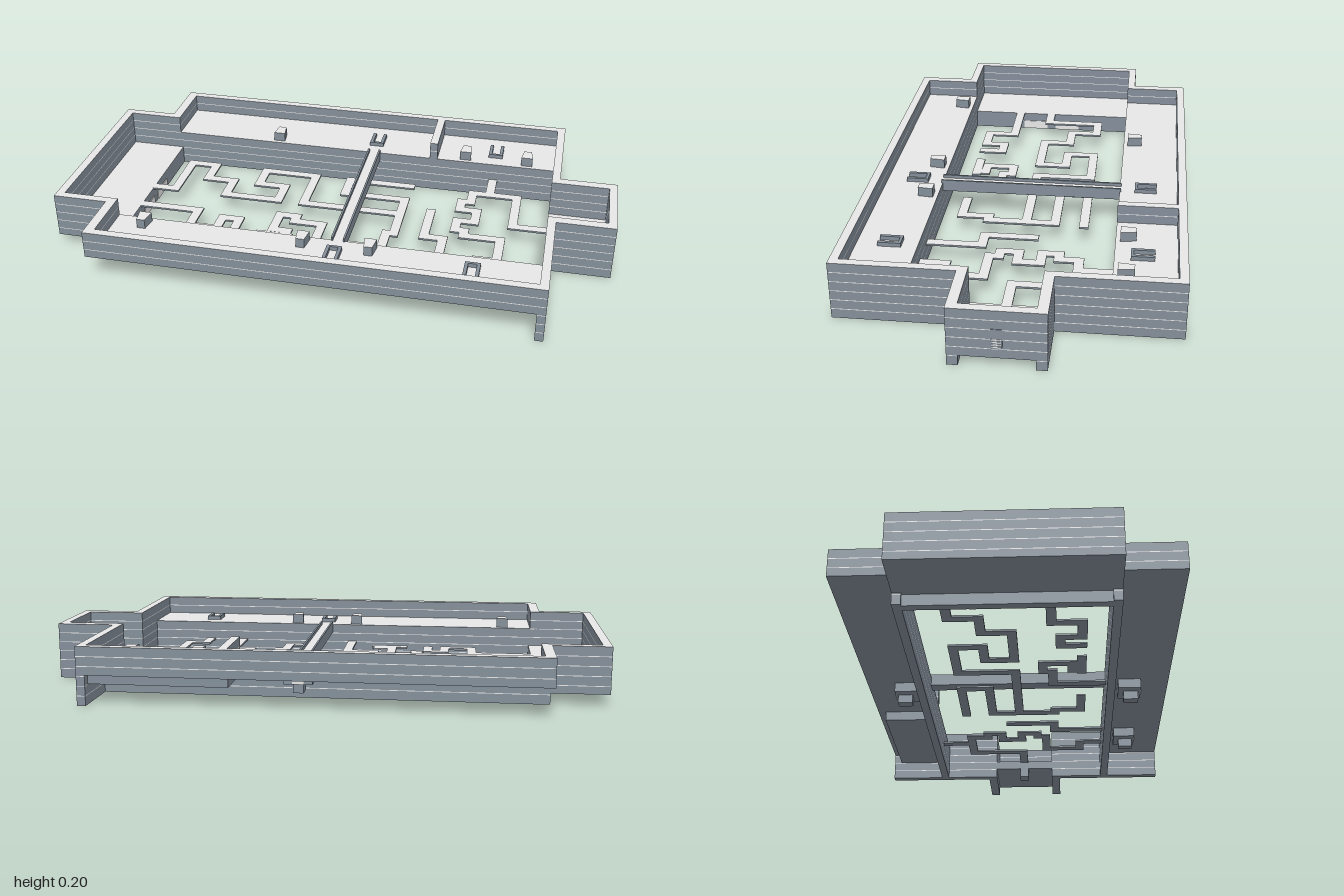
import * as THREE from 'three';

const pale = new THREE.MeshStandardMaterial({ color: 0xe7e7e7 });
pale.name = 'pale grey';
const slate = new THREE.MeshStandardMaterial({ color: 0x848f9a });
slate.name = 'slate';
const TOP = 0.205, COURSE = TOP / 6, PATH = 0.034;
const BASE = 0.106, FLOOR = 0.138, LOW = 0.07; // terrace underside, terrace floor, bay floors

export function createModel() {
  const model = new THREE.Group();
  model.name = 'mazeFort';

  // Block given by its extents: pale on top, slate on the other faces
  const slab = (name, x0, x1, y0, y1, z0, z1, mats = [slate, slate, pale, slate, slate, slate]) => {
    const mesh = new THREE.Mesh(new THREE.BoxGeometry(x1 - x0, y1 - y0, z1 - z0), mats);
    mesh.position.set((x0 + x1) / 2, (y0 + y1) / 2, (z0 + z1) / 2);
    mesh.name = name;
    model.add(mesh);
  };

  // Wall block whose sides are split into slate courses and thin pale joints
  const wall = (name, x0, x1, y0, y1, z0, z1) => {
    const levels = [y1];
    for (let k = 5; k > 0; k--) {
      const y = k * COURSE;
      if (y > y0 + 0.006 && y < y1 - 0.006) levels.push(y + 0.0013, y - 0.0013);
    }
    levels.push(y0);
    const rows = levels.length - 1, h = y1 - y0, mid = (y0 + y1) / 2;
    const geo = new THREE.BoxGeometry(x1 - x0, h, z1 - z0, 1, rows, 1);
    const pos = geo.attributes.position;
    for (let i = 0; i < pos.count; i++)
      pos.setY(i, levels[Math.round((0.5 - pos.getY(i) / h) * rows)] - mid);
    geo.clearGroups();
    let start = 0;
    for (let face = 0; face < 6; face++) {
      const flat = face === 2 || face === 3;
      for (let r = 0; r < (flat ? 1 : rows); r++, start += 6)
        geo.addGroup(start, 6, flat ? 3 - face : r % 2);
    }
    const mesh = new THREE.Mesh(geo, [slate, pale]);
    mesh.position.set((x0 + x1) / 2, mid, (z0 + z1) / 2);
    mesh.name = name;
    model.add(mesh);
  };

  // Everything that is mirrored from front to back
  for (const s of [1, -1]) {
    const mz = (fn, name, x0, x1, y0, y1, a, b, mats) =>
      fn(name, x0, x1, y0, y1, Math.min(s * a, s * b), Math.max(s * a, s * b), mats);
    mz(wall, 'longWall', -0.8, 0.79, BASE, TOP, 0.54, 0.57);
    mz(wall, 'leftShoulderWall', -0.8, -0.765, BASE, TOP, 0.33, 0.54);
    mz(wall, 'rightEndWall', 0.76, 0.79, 0, TOP, 0.12, 0.57);
    mz(wall, 'leftBaySideWall', -1, -0.8, 0.04, TOP, 0.33, 0.36);
    mz(wall, 'rightBaySideWall', 0.79, 1, 0, TOP, 0.12, 0.155);
    mz(wall, 'pitWall', -0.8, 0.76, 0, FLOOR, 0.33, 0.36);
    mz(slab, 'terrace', -0.765, 0.76, BASE, FLOOR, 0.36, 0.54);
    mz(slab, 'leftPitPanel', -0.76, -0.757, 0.001, 0.036, 0.018, 0.12, pale);

    // Small stair hatches: railing above, stepped box below
    for (const x of [0.05, 0.53]) {
      mz(slab, 'hatchRail', x - 0.027, x - 0.015, FLOOR, 0.153, 0.385, 0.465, slate);
      mz(slab, 'hatchRail', x + 0.015, x + 0.027, FLOOR, 0.153, 0.385, 0.465, slate);
      mz(slab, 'hatchEnd', x - 0.015, x + 0.015, FLOOR, 0.153, 0.385, 0.395, slate);
      if (s < 0 && x > 0.5) continue; // this one is enclosed by the deep terrace
      mz(slab, 'hatchBox', x - 0.05, x + 0.05, 0.07, BASE, 0.38, 0.465);
      mz(slab, 'hatchStep', x - 0.018, x + 0.018, 0.038, 0.07, 0.4, 0.455);
      mz(slab, 'hatchOpening', x - 0.02, x + 0.02, 0.072, 0.104, 0.465, 0.468, pale);
    }
  }

  // Deeper underside and partition of the back terrace's right room
  slab('deepTerrace', 0.275, 0.76, 0.07, BASE, -0.54, -0.36);
  wall('partition', 0.275, 0.305, FLOOR, TOP, -0.54, -0.33);

  // Left bay
  wall('leftBayEndWall', -1, -0.97, 0.04, TOP, -0.33, 0.33);
  slab('leftBayFloor', -0.97, -0.76, 0.04, LOW, -0.33, 0.33);
  slab('leftPitWall', -0.79, -0.76, 0, 0.04, -0.33, 0.33);

  // Right bay: open below, with a louvred slot on its end wall
  wall('rightBayEndWall', 0.97, 1, 0.036, TOP, -0.12, 0.12);
  slab('slot', 1, 1.002, LOW, 0.14, -0.018, 0.018, slate);
  for (let k = 0; k < 4; k++)
    slab('slotLouvre', 1.002, 1.003, 0.074 + k * 0.009, 0.078 + k * 0.009, -0.015, 0.015, pale);
  slab('rightBayFloor', 0.76, 0.97, 0.036, LOW, -0.12, 0.12);
  slab('entrySupport', 0.76, 0.815, 0, 0.036, -0.018, 0.018);

  // Bridge over the pit
  slab('bridge', 0.03, 0.07, BASE, FLOOR, -0.33, 0.33);
  for (const x of [0.025, 0.068])
    slab('bridgeRail', x, x + 0.007, BASE, 0.15, -0.335, 0.335, slate);

  // Tapered blocks along the terrace edges, wide end towards the pit
  const wedgeShape = new THREE.Shape([
    [-0.022, 0], [0.022, 0], [0.015, 0.055], [-0.015, 0.055],
  ].map(([x, y]) => new THREE.Vector2(x, y)));
  const wedge = new THREE.ExtrudeGeometry(wedgeShape, { depth: 0.035, bevelEnabled: false });
  wedge.rotateX(-Math.PI / 2);
  for (const [x, s] of [[-0.655, 1], [-0.07, 1], [0.17, 1], [-0.345, -1], [0.415, -1], [0.655, -1]]) {
    const block = new THREE.Mesh(wedge, [pale, slate]);
    block.position.set(x, FLOOR, s * 0.346);
    if (s > 0) block.rotation.y = Math.PI;
    block.name = 'taperedBlock';
    model.add(block);
  }

  // Thin maze walkways, each a run of right-angled corners in x, z
  const walkways = [
    [[-0.745, 0], [-0.675, 0], [-0.675, -0.21], [-0.575, -0.21], [-0.575, -0.105], [-0.47, -0.105],
      [-0.47, 0], [-0.26, 0], [-0.26, -0.105], [-0.365, -0.105], [-0.365, -0.21], [-0.16, -0.21],
      [-0.16, 0], [0.215, 0], [0.215, -0.105], [-0.02, -0.105], [-0.02, -0.21], [0.22, -0.21]],
    [[0.215, 0], [0.215, 0.14], [0.187, 0.14], [0.187, 0.24], [0.07, 0.24]],
    [[-0.745, 0.135], [-0.535, 0.135], [-0.535, 0.24], [-0.43, 0.24], [-0.43, 0.165],
      [-0.365, 0.165], [-0.365, 0.24]],
    [[-0.265, 0.24], [-0.16, 0.24]],
    [[-0.17, 0.24], [-0.17, 0.205], [-0.225, 0.205], [-0.225, 0.1], [-0.16, 0.1],
      [-0.16, 0.135], [-0.055, 0.135], [-0.055, 0.315]],
    [[0.325, -0.04], [0.325, 0.135], [0.395, 0.135], [0.395, 0.315]],
    [[0.53, -0.315], [0.53, -0.21]],
    [[0.465, -0.21], [0.635, -0.21], [0.635, 0], [0.79, 0]],
    [[0.465, -0.21], [0.465, -0.14], [0.43, -0.14], [0.43, -0.08], [0.495, -0.08], [0.495, 0],
      [0.43, 0], [0.43, 0.065], [0.465, 0.065], [0.465, 0.1], [0.6, 0.1], [0.6, 0.24],
      [0.53, 0.24], [0.53, 0.315]],
  ];
  const h = PATH / 2;
  for (const run of walkways)
    for (let i = 1; i < run.length; i++) {
      const [ax, az] = run[i - 1], [bx, bz] = run[i];
      slab('walkway', Math.min(ax, bx) - h, Math.max(ax, bx) + h, 0.064, LOW + 0.001,
        Math.min(az, bz) - h, Math.max(az, bz) + h);
    }

  return model;
}
